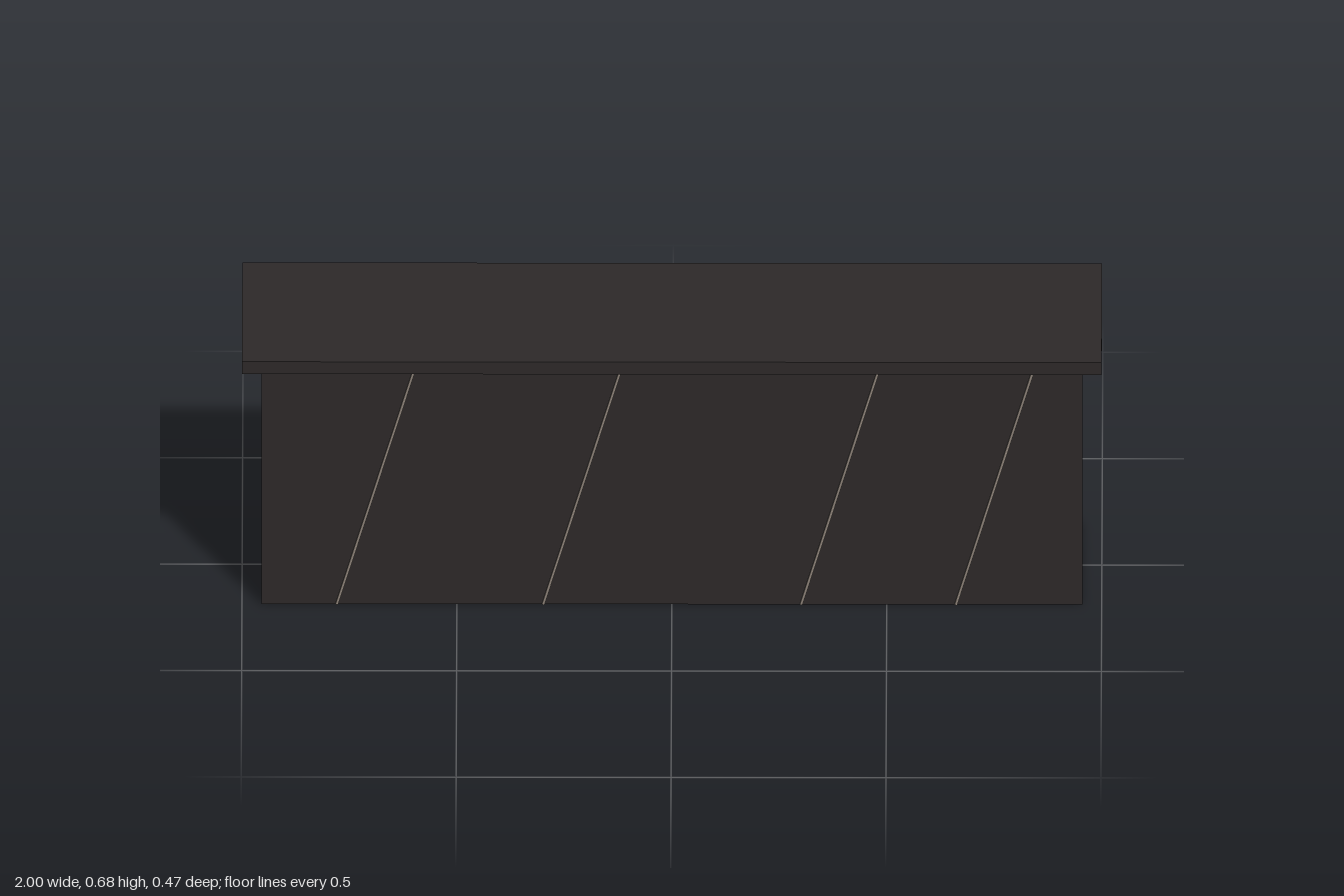
import * as THREE from 'three';

export function createModel() {
  const group = new THREE.Group();
  const mat = (color) => new THREE.MeshStandardMaterial({ color });
  const dark = mat(0x2d2929), brass = mat(0xa89a6c), vein = mat(0x8c8278);

  const box = (name, size, pos, material) => {
    const mesh = new THREE.Mesh(new THREE.BoxGeometry(...size), material);
    mesh.name = name;
    mesh.position.set(...pos);
    group.add(mesh);
    return mesh;
  };

  // Counter body and overhanging slab
  box('counterBody', [1.91, 0.642, 0.372], [0, 0.321, 0], dark);
  box('counterTop', [2, 0.033, 0.466], [0, 0.6585, 0], dark);

  // Light strip tucked under the front overhang
  box('frontTrim', [1.91, 0.015, 0.014], [0, 0.6345, 0.193], brass);

  // Slanted inlay lines on the front panel
  [-0.69, -0.21, 0.39, 0.75].forEach((x, i) => {
    box(`inlayLine${i + 1}`, [0.006, 0.647, 0.006], [x, 0.312, 0.188], vein).rotation.z = -0.28;
  });

  return group;
}
